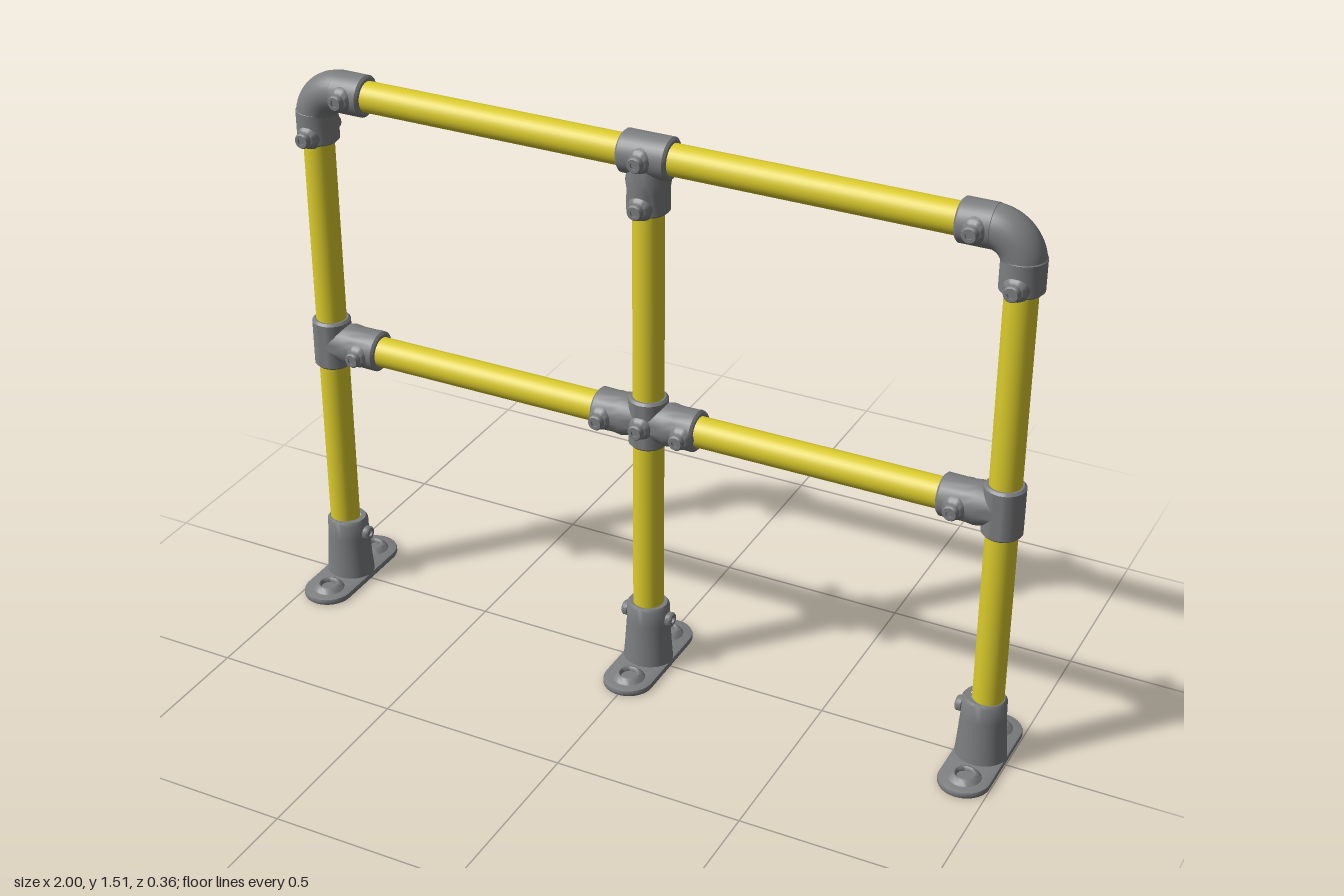
import * as THREE from 'three';
import { toCreasedNormals } from 'three/addons/utils/BufferGeometryUtils.js';

const PIPE = 0.04, SLEEVE = 0.054, END = 0.94, TOP = 1.455, MID = 0.735;

export function createModel() {
  const root = new THREE.Group();
  root.name = 'guardRail';
  const yellow = new THREE.MeshStandardMaterial({ color: 0xdccc2c });
  yellow.name = 'safetyYellow';
  const grey = new THREE.MeshStandardMaterial({ color: 0x7d7e80 });
  grey.name = 'galvanisedGrey';

  const add = (parent, name, geo, mat, x = 0, y = 0, z = 0) => {
    const m = new THREE.Mesh(geo, mat);
    m.name = name;
    m.position.set(x, y, z);
    parent.add(m);
    return m;
  };
  const group = (name) => {
    const g = new THREE.Group();
    g.name = name;
    root.add(g);
    return g;
  };
  const lathe = (pts, seg = 32) => toCreasedNormals(
    new THREE.LatheGeometry(pts.map(([r, y]) => new THREE.Vector2(r, y)), seg), 0.7);

  // Straight sleeve with softened lips, lying along y
  const sleeve = (len, r = SLEEVE) => {
    const h = len / 2, c = 0.006;
    return lathe([[PIPE - 0.004, -h], [r - c, -h], [r, -h + c], [r, h - c], [r - c, h], [PIPE - 0.004, h]]);
  };
  // Branch socket that flares where it meets the main sleeve
  const branch = (len, flare) => lathe([
    [flare, 0], [flare, 0.03], [SLEEVE + 0.002, 0.062], [SLEEVE - 0.001, 0.085],
    [SLEEVE, len - 0.006], [SLEEVE - 0.006, len], [PIPE - 0.004, len]]);

  // Set screw with rounded boss and hex socket, pointing along y
  const bossGeo = lathe([[0.034, 0.04], [0.029, 0.053], [0.023, 0.06], [0.015, 0.062], [0, 0.062]], 20);
  const headGeo = lathe([[0.013, 0.055], [0.013, 0.063], [0.02, 0.064], [0.02, 0.076],
    [0.017, 0.08], [0.009, 0.08], [0.009, 0.074], [0, 0.074]], 16);
  const screw = (parent, x, y, axis, sign) => {
    for (const [name, geo] of [['screwBoss', bossGeo], ['setScrew', headGeo]]) {
      const m = add(parent, name, geo, grey, x, y, 0);
      if (axis === 'z') m.rotation.x = sign * Math.PI / 2;
      else m.rotation.z = -sign * Math.PI / 2;
    }
  };
  const screwPair = (parent, x, y) => [1, -1].forEach((s) => screw(parent, x, y, 'z', s));

  // Pipes
  const pipe = (len) => new THREE.CylinderGeometry(PIPE, PIPE, len, 32);
  for (const x of [-END, 0, END]) {
    const h = x === 0 ? TOP : TOP - 0.1;
    add(root, 'post', pipe(h - 0.02), yellow, x, 0.02 + (h - 0.02) / 2);
  }
  add(root, 'topRail', pipe(1.68), yellow, 0, TOP).rotation.z = Math.PI / 2;
  add(root, 'middleRail', pipe(2 * END), yellow, 0, MID).rotation.z = Math.PI / 2;

  // Foot plate, oblong with rounded ends
  const w = 0.062, l = 0.175 - w;
  const plate = new THREE.Shape();
  plate.absarc(0, l, w, 0, Math.PI, false);
  plate.absarc(0, -l, w, Math.PI, 2 * Math.PI, false);
  plate.closePath();
  const plateGeo = new THREE.ExtrudeGeometry(plate, {
    depth: 0.008, bevelEnabled: true, bevelThickness: 0.005, bevelSize: 0.005, bevelSegments: 2, curveSegments: 20,
  });
  plateGeo.rotateX(-Math.PI / 2).translate(0, 0.005, 0);
  const footPlate = toCreasedNormals(plateGeo, 0.6);
  const socketGeo = lathe([[0.067, 0.012], [0.066, 0.025], [0.063, 0.06], [0.058, 0.135],
    [0.057, 0.182], [0.051, 0.19], [PIPE - 0.004, 0.19]]);
  const holeRim = lathe([[0.046, 0.014], [0.038, 0.023], [0.031, 0.03], [0.026, 0.031],
    [0.022, 0.027], [0.021, 0.0195], [0, 0.0195]], 24);

  for (const s of [-1, 0, 1]) {
    const foot = group('foot');
    foot.position.x = s * 0.932;
    add(foot, 'footPlate', footPlate, grey);
    add(foot, 'footSocket', socketGeo, grey).scale.z = 0.9;
    for (const z of [-0.113, 0.113]) add(foot, 'boltHoleRim', holeRim, grey, 0, 0, z);
    // Outer feet carry a screw on the inner side only
    for (const d of [-1, 1]) if (d !== s) screw(foot, -0.008 * d, 0.148, 'x', d);
  }

  // Corner elbows and side tees, mirrored left and right
  for (const s of [-1, 1]) {
    const elbow = group('cornerElbow');
    const bend = 0.078;
    const v = (x, y) => new THREE.Vector3(s * x, y, 0);
    const path = new THREE.CurvePath();
    path.add(new THREE.LineCurve3(v(END, 1.37), v(END, TOP - bend)));
    const k = bend * 0.448;
    path.add(new THREE.CubicBezierCurve3(v(END, TOP - bend), v(END, TOP - k), v(END - k, TOP), v(END - bend, TOP)));
    path.add(new THREE.LineCurve3(v(END - bend, TOP), v(0.85, TOP)));
    add(elbow, 'elbowBend', new THREE.TubeGeometry(path, 32, SLEEVE - 0.001, 32), grey);
    add(elbow, 'elbowSleeve', sleeve(0.09), grey, s * END, 1.355);
    add(elbow, 'elbowSleeve', sleeve(0.09), grey, s * 0.83, TOP).rotation.z = Math.PI / 2;
    screwPair(elbow, s * END, 1.333);
    screwPair(elbow, s * 0.833, TOP);

    const tee = group('sideTee');
    add(tee, 'teeSleeve', sleeve(0.136, 0.051), grey, s * END, MID);
    add(tee, 'teeBranch', branch(0.155, 0.05), grey, s * END, MID).rotation.z = s * Math.PI / 2;
    screwPair(tee, s * 0.833, MID - 0.003);
  }

  // Top centre tee
  const topTee = group('topCentreTee');
  add(topTee, 'teeSleeve', sleeve(0.132), grey, 0, TOP).rotation.z = Math.PI / 2;
  add(topTee, 'teeBranch', branch(0.145, 0.05), grey, 0, TOP).rotation.z = Math.PI;
  screwPair(topTee, 0, TOP);
  screwPair(topTee, 0, 1.333);

  // Centre cross
  const cross = group('centreCross');
  add(cross, 'crossSleeve', sleeve(0.136, 0.051), grey, 0, MID);
  for (const s of [-1, 1]) {
    add(cross, 'crossBranch', branch(0.142, 0.05), grey, 0, MID).rotation.z = -s * Math.PI / 2;
    screwPair(cross, s * 0.112, MID - 0.003);
  }
  screwPair(cross, 0, MID - 0.003);

  return root;
}
